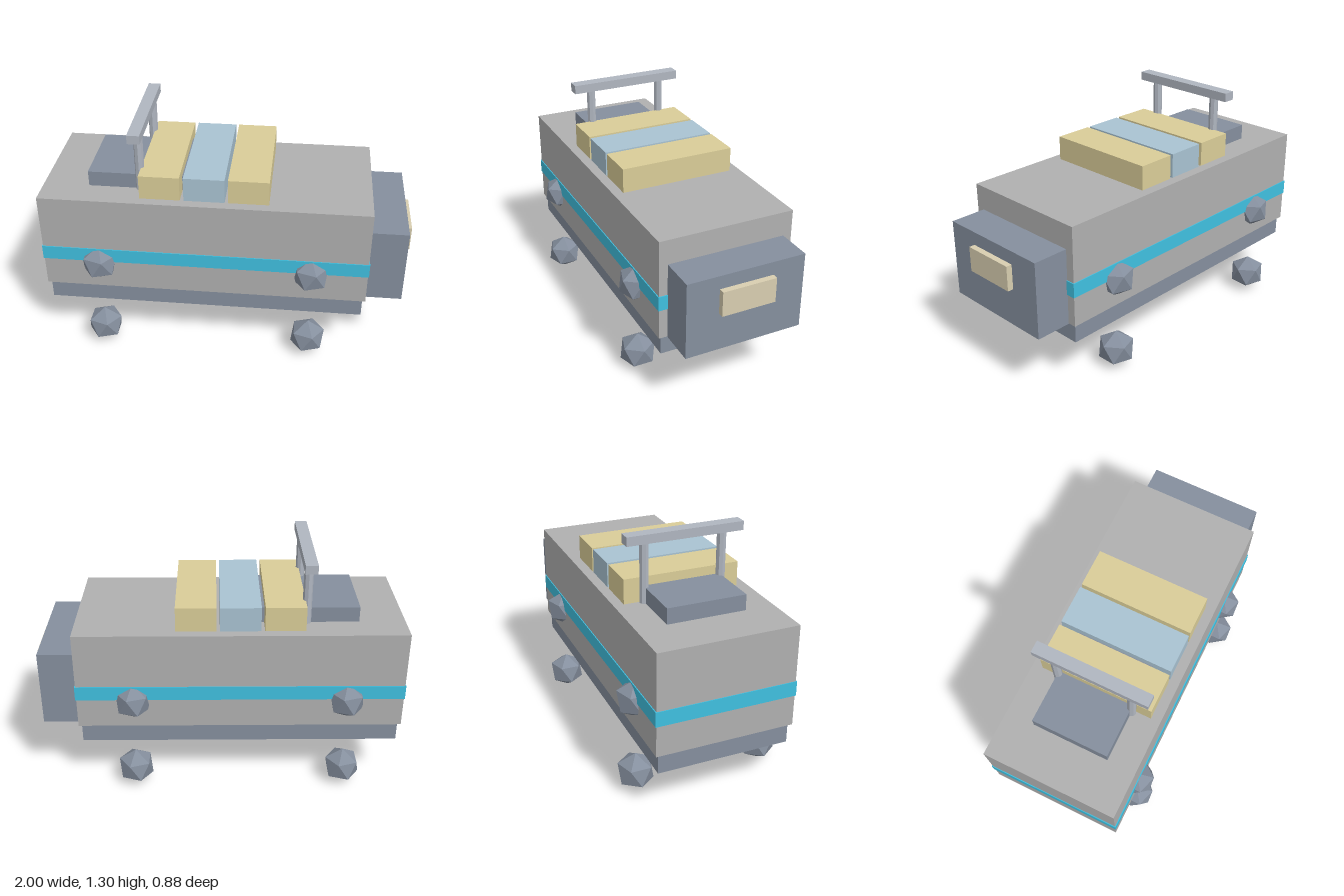
import * as THREE from 'three';

const GREY = 0xb0b0b0, SLATE = 0x858f9e, CYAN = 0x40c0e0, SAND = 0xdacd98, BLUE = 0xa9c3d2, CREAM = 0xd8ceb0, STEEL = 0xb0b6c0;

const material = (color) => new THREE.MeshStandardMaterial({ color, flatShading: true });

// Box given by its extents on x and y, and its half width on z
function slab(name, color, [x0, x1], [y0, y1], halfZ) {
  const mesh = new THREE.Mesh(new THREE.BoxGeometry(x1 - x0, y1 - y0, halfZ * 2), material(color));
  mesh.position.set((x0 + x1) / 2, (y0 + y1) / 2, 0);
  mesh.name = name;
  return mesh;
}

export function createModel() {
  const model = new THREE.Group();
  model.name = 'vehicle';

  // Hull, skirt below it and the stripe around it
  model.add(
    slab('body', GREY, [-0.996, 0.771], [0.382, 0.935], 0.371),
    slab('undercarriage', SLATE, [-0.98, 0.755], [0.274, 0.385], 0.354),
    slab('stripe', CYAN, [-1, 0.776], [0.55, 0.63], 0.376),
  );

  // Nose block with its window
  model.add(
    slab('nose', SLATE, [0.769, 0.968], [0.379, 0.801], 0.324),
    slab('noseWindow', CREAM, [0.95, 1], [0.591, 0.728], 0.148),
  );

  // Hatch and the row of cargo boxes on the roof
  model.add(slab('roofHatch', SLATE, [-0.748, -0.2], [0.92, 1.02], 0.212));
  [[-0.455, -0.24, SAND], [-0.22, -0.003, BLUE], [0.014, 0.23, SAND]].forEach(([x0, x1, color], i) => {
    model.add(slab(`cargoBox${i + 1}`, color, [x0, x1], [0.925, 1.069], 0.317));
  });

  // Roof rack: a bar on two posts
  const rack = new THREE.Group();
  rack.name = 'roofRack';
  rack.add(slab('rackBar', STEEL, [-0.5, -0.434], [1.256, 1.304], 0.317));
  const postGeometry = new THREE.CylinderGeometry(0.025, 0.025, 0.34, 8);
  for (const side of [1, -1]) {
    const post = new THREE.Mesh(postGeometry, material(STEEL));
    post.name = side > 0 ? 'rackPostRight' : 'rackPostLeft';
    post.position.set(-0.465, 1.095, side * 0.212);
    rack.add(post);
  }
  model.add(rack);

  // Faceted wheels with a corner at top and bottom, and matching knobs on the stripe
  const ballGeometry = new THREE.IcosahedronGeometry(0.104, 0);
  ballGeometry.rotateZ(-Math.atan(2 / (1 + Math.sqrt(5))));
  for (const [name, y] of [['wheel', 0.104], ['sideKnob', 0.534]]) {
    for (const x of [-0.691, 0.467]) {
      for (const z of [-0.354, 0.354]) {
        const ball = new THREE.Mesh(ballGeometry, material(SLATE));
        ball.name = name;
        ball.position.set(x, y, z);
        model.add(ball);
      }
    }
  }
  return model;
}
